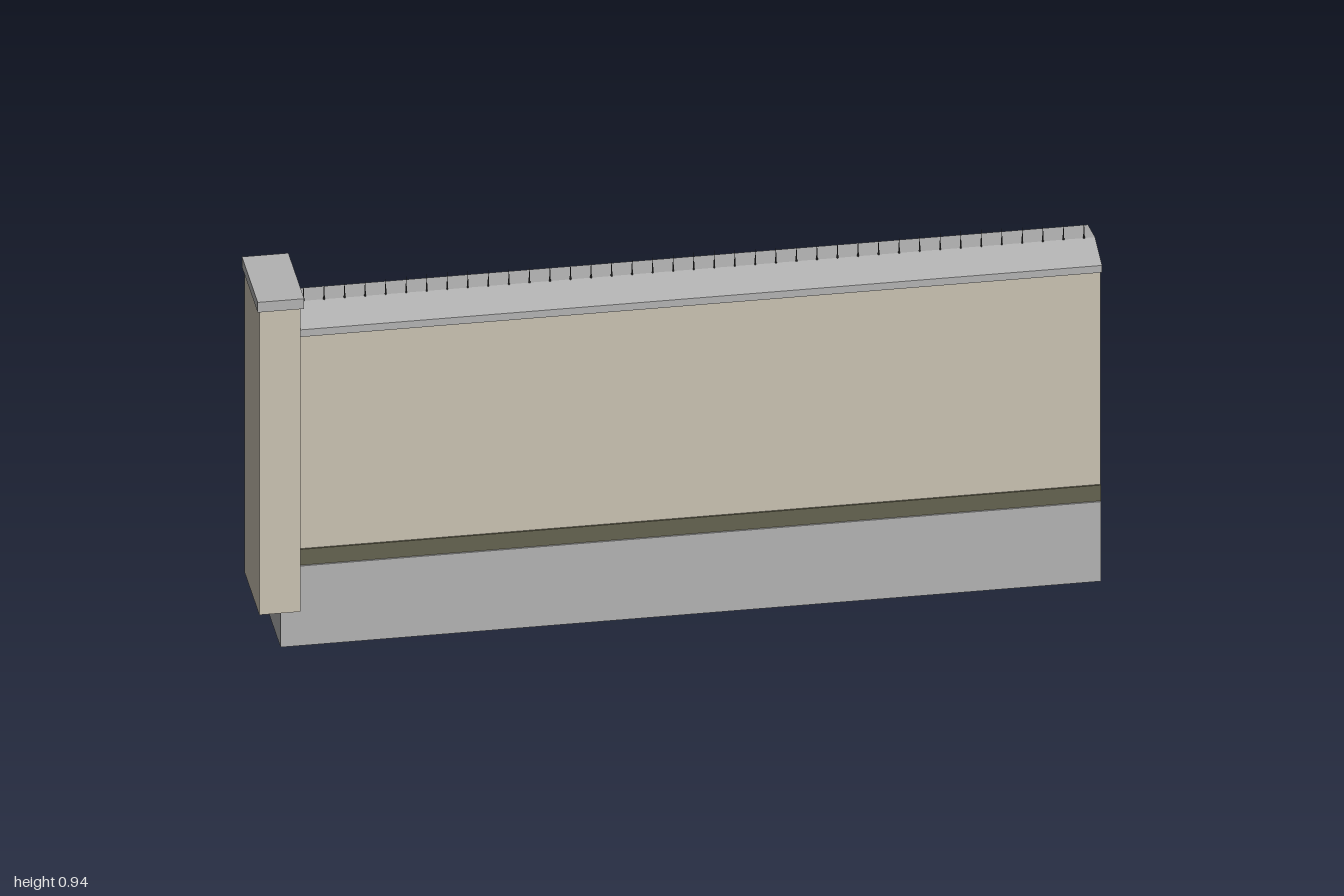
import * as THREE from 'three';

export function createModel() {
  const mat = (name, color, opts = {}) => new THREE.MeshStandardMaterial({ name, color, ...opts });
  const render = mat('beige render', 0xc9c1b1);
  const stone = mat('grey stone', 0xb2b2b2);
  const roofing = mat('grey coping', 0xb2b2b2, { side: THREE.DoubleSide });
  const damp = mat('dark olive band', 0x64624f);
  const iron = mat('dark iron', 0x3a3a3a);

  const model = new THREE.Group();
  model.name = 'boundaryWall';

  const add = (name, geometry, material) => {
    const mesh = new THREE.Mesh(geometry, material);
    mesh.name = name;
    model.add(mesh);
    return mesh;
  };
  // Box given by its x range, y range and z range
  const box = (name, material, x0, x1, y0, y1, z0, z1) => {
    const g = new THREE.BoxGeometry(x1 - x0, y1 - y0, z1 - z0);
    g.translate((x0 + x1) / 2, (y0 + y1) / 2, (z0 + z1) / 2);
    return add(name, g, material);
  };

  // Wall body on its plinth
  box('plinth', stone, -0.942, 1, 0, 0.212, -0.088, 0.088);
  box('wallPanel', render, -0.942, 1, 0.212, 0.829, -0.08, 0.08);

  // End pillar, hanging past the plinth top, with its cap
  box('pillar', render, -0.995, -0.898, 0.1, 0.91, -0.105, 0.105);
  box('pillarCap', stone, -1, -0.89, 0.91, 0.937, -0.112, 0.112);

  // Thin band along the foot of each wall face
  box('frontBand', damp, -0.9, 1, 0.212, 0.254, 0.08, 0.084);
  box('backBand', damp, -0.9, 1, 0.212, 0.254, -0.084, -0.08);

  // Coping slab with two open-ended slopes meeting at a ridge
  box('copingSlab', stone, -0.898, 1, 0.829, 0.848, -0.1, 0.1);
  const ridge = 0.869, eave = 0.848, half = 0.1;
  for (const side of [1, -1]) {
    const a = [-0.898, eave, side * half], b = [1, eave, side * half];
    const c = [1, ridge, 0], d = [-0.898, ridge, 0];
    const corners = side > 0 ? [a, b, c, a, c, d] : [b, a, d, b, d, c];
    const g = new THREE.BufferGeometry();
    g.setAttribute('position', new THREE.Float32BufferAttribute(corners.flat(), 3));
    g.computeVertexNormals();
    add(side > 0 ? 'frontSlope' : 'backSlope', g, roofing);
  }

  // Row of spikes along the ridge
  const spike = new THREE.ConeGeometry(0.0025, 0.05, 6);
  const count = 39;
  for (let i = 0; i < count; i++) {
    const m = add('spike', spike, iron);
    m.position.set(-0.873 + i * 0.0486, 0.89, 0);
  }
  return model;
}
